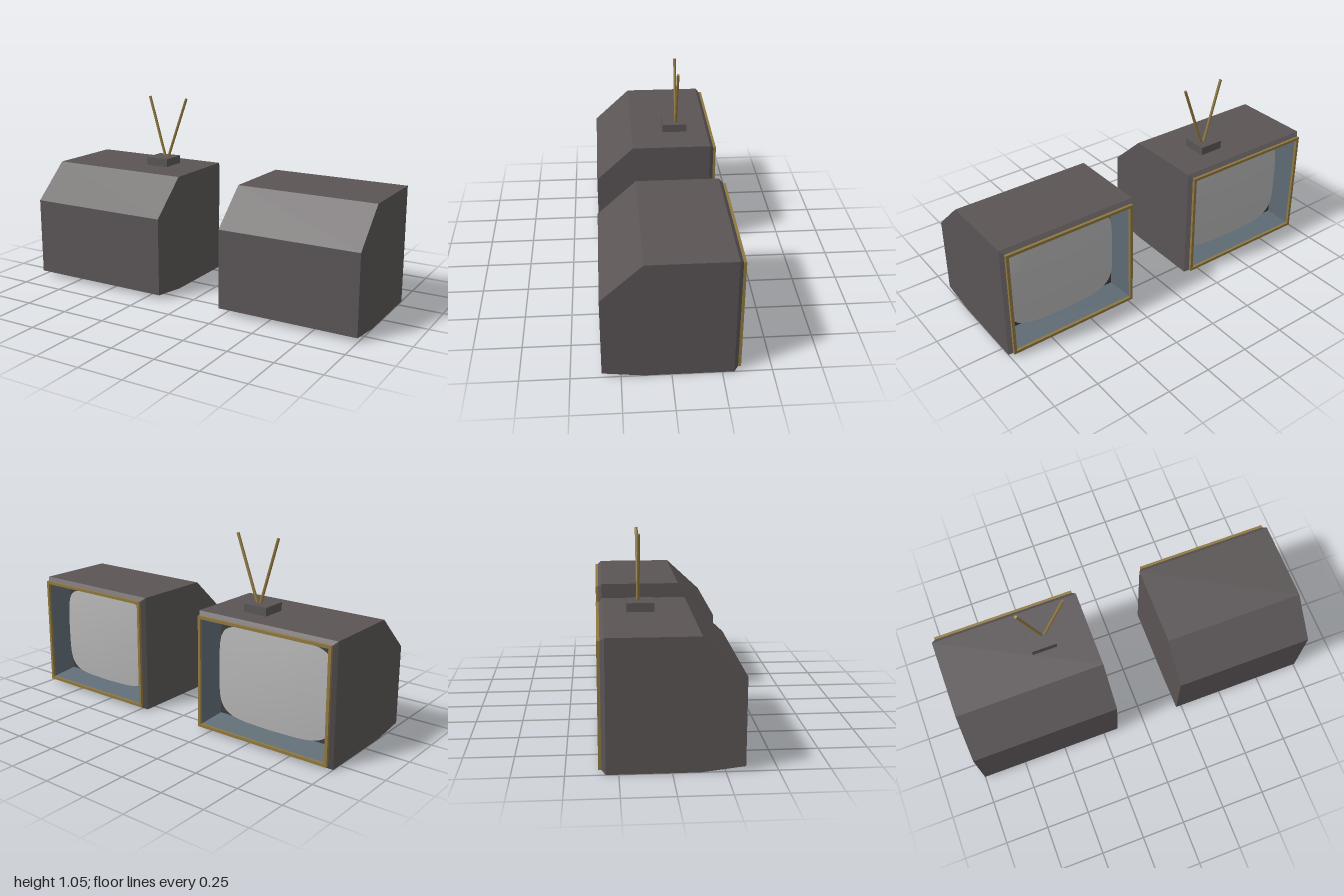
import * as THREE from 'three';

const mat = (color, side = THREE.FrontSide, flatShading = true) =>
  new THREE.MeshStandardMaterial({ color, side, flatShading });
const cabinetMat = mat(0x5a5455);
const goldMat = mat(0x8f7840);
const recessMat = mat(0x5f6c75);
const rimMat = mat(0x3c3c3e, THREE.DoubleSide);
const screenMat = mat(0xb4b4b4, THREE.DoubleSide, false);

function add(group, name, geometry, material) {
  const mesh = new THREE.Mesh(geometry, material);
  mesh.name = name;
  group.add(mesh);
  return mesh;
}

// Skin through rectangular rings { x0, x1, y0, y1, z }, with optional end caps
function loft(rings, capStart = false, capEnd = false) {
  const pts = [];
  const loops = rings.map(({ x0, x1, y0, y1, z }) =>
    [[x0, y0, z], [x1, y0, z], [x1, y1, z], [x0, y1, z]]);
  const quad = (a, b, c, d) => pts.push(...a, ...b, ...c, ...a, ...c, ...d);
  for (let k = 0; k < loops.length - 1; k++) {
    const p = loops[k], q = loops[k + 1];
    for (let i = 0; i < 4; i++) {
      const j = (i + 1) % 4;
      quad(p[i], q[i], q[j], p[j]);
    }
  }
  if (capStart) quad(...loops[0]);
  if (capEnd) quad(...loops[loops.length - 1].slice().reverse());
  const g = new THREE.BufferGeometry();
  g.setAttribute('position', new THREE.Float32BufferAttribute(pts, 3));
  g.computeVertexNormals();
  return g;
}

// Point on a rounded rectangle, as a superellipse of unit half size
function roundedSquare(angle) {
  const f = (v) => Math.sign(v) * Math.pow(Math.abs(v), 0.38);
  return [f(Math.cos(angle)), f(Math.sin(angle))];
}
const bulge = (u, v) => 0.012 + 0.028 * (1 - u * u) + 0.01 * (1 - v * v);

// Bulging glass facing -z, centred on the origin
function screenGeometry(w, h) {
  const g = new THREE.RingGeometry(0.001, 1, 64, 10);
  const p = g.attributes.position;
  for (let i = 0; i < p.count; i++) {
    const r = Math.hypot(p.getX(i), p.getY(i));
    const [a, b] = roundedSquare(Math.atan2(p.getY(i), p.getX(i)));
    p.setXYZ(i, -a * r * w, b * r * h, -bulge(a * r, b * r));
  }
  g.computeVertexNormals();
  return g;
}

// Dark band joining the edge of the glass to the back plate
function rimGeometry(w, h) {
  const g = new THREE.CylinderGeometry(1, 1, 1, 64, 1, true);
  const p = g.attributes.position;
  for (let i = 0; i < p.count; i++) {
    const [a, b] = roundedSquare(Math.atan2(p.getZ(i), p.getX(i)));
    p.setXYZ(i, a * w, b * h, p.getY(i) > 0 ? -bulge(a, b) : 0);
  }
  g.computeVertexNormals();
  return g;
}

function television(name, x0, x1) {
  const tv = new THREE.Group();
  tv.name = name;
  const ring = (z, inset = 0, y0 = 0, y1 = 0.655) =>
    ({ x0: x0 + inset, x1: x1 - inset, y0: y0 + inset, y1: y1 - inset, z });

  // Sloped cabinet, bevelled at the screen end
  add(tv, 'cabinet', loft([
    ring(0.345, 0, 0.025, 0.46), ring(0.135), ring(-0.31), ring(-0.33, 0.018),
  ], true), cabinetMat);

  // Gold trim around the opening
  add(tv, 'screenTrim', loft([
    ring(-0.33, 0.018), ring(-0.345, 0.018), ring(-0.345, 0.034), ring(-0.33, 0.034),
  ]), goldMat);

  // Tapered recess and its back plate
  const depth = -0.205, inset = 0.065;
  add(tv, 'screenRecess', loft([ring(-0.33, 0.034), ring(depth, inset)]), recessMat);
  add(tv, 'screenSurround', loft([ring(depth, inset), ring(depth, inset)], false, true), rimMat);

  // Glass and its rim
  const w = (x1 - x0) / 2 - inset - 0.004, h = 0.655 / 2 - inset - 0.004;
  for (const [part, g, m] of [
    ['screen', screenGeometry(w, h), screenMat],
    ['screenRim', rimGeometry(w, h), rimMat],
  ]) add(tv, part, g, m).position.set((x0 + x1) / 2, 0.655 / 2, depth);
  return tv;
}

// Two rods splayed from a small box
function antenna() {
  const group = new THREE.Group();
  group.name = 'antenna';
  add(group, 'antennaBase', new THREE.BoxGeometry(0.14, 0.046, 0.14), cabinetMat)
    .position.set(-0.435, 0.678, -0.12);
  for (const [name, from, to] of [
    ['antennaRodRight', -0.425, -0.53],
    ['antennaRodLeft', -0.41, -0.278],
  ]) {
    const a = new THREE.Vector3(from, 0.69, -0.13), b = new THREE.Vector3(to, 1.052, -0.13);
    const rod = add(group, name, new THREE.CylinderGeometry(0.008, 0.008, a.distanceTo(b), 8), goldMat);
    rod.position.copy(a).lerp(b, 0.5);
    rod.quaternion.setFromUnitVectors(new THREE.Vector3(0, 1, 0), b.sub(a).normalize());
  }
  return group;
}

export function createModel() {
  const model = new THREE.Group();
  model.name = 'televisions';
  model.add(television('rightTelevision', -1, -0.165));
  model.add(television('leftTelevision', 0.215, 1));
  model.add(antenna());
  return model;
}
